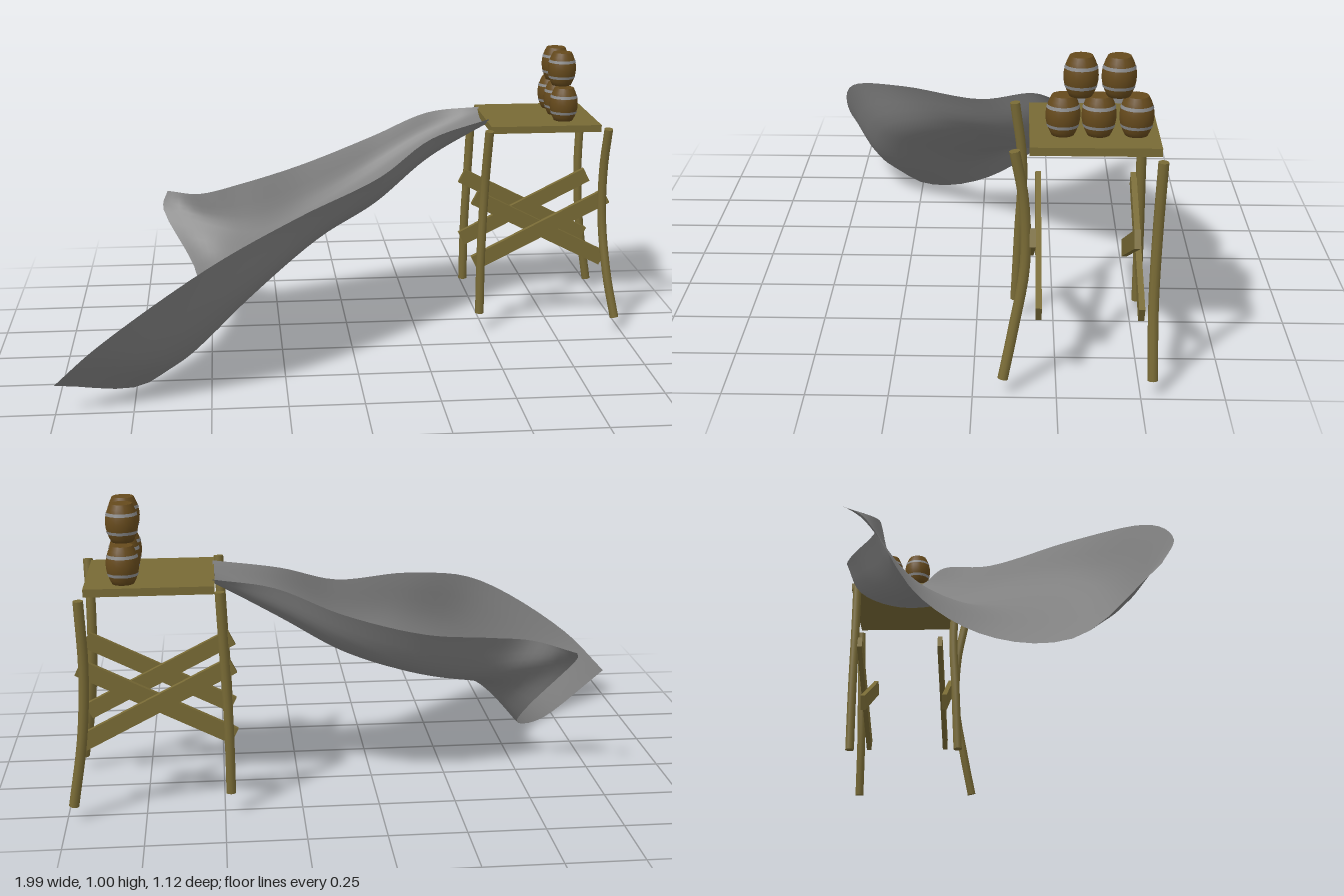
import * as THREE from 'three';

const mat = (name, color, side = THREE.FrontSide) => {
  const m = new THREE.MeshStandardMaterial({ color, side });
  m.name = name;
  return m;
};
const v = (p) => new THREE.Vector3(...p);
const curve = (pts) => new THREE.CatmullRomCurve3(pts, false, 'centripetal');

// Cross-sections of the chute from platform to lip, each from front rim to back rim
const SECTIONS = [
  [[.52, .77, -.25], [.52, .745, -.29], [.52, .735, -.34], [.52, .735, -.39], [.52, .745, -.44], [.52, .765, -.48]],
  [[.3, .72, -.17], [.3, .65, -.22], [.3, .615, -.3], [.31, .615, -.4], [.32, .66, -.48], [.33, .74, -.51]],
  [[.1, .63, 0], [.1, .54, -.08], [.1, .48, -.2], [.1, .475, -.34], [.1, .53, -.46], [.12, .65, -.515]],
  [[-.2, .575, .28], [-.14, .46, .14], [-.12, .4, -.05], [-.12, .375, -.24], [-.13, .42, -.38], [-.15, .56, -.46]],
  [[-.5, .48, .5], [-.4, .32, .36], [-.34, .28, .1], [-.33, .3, -.14], [-.34, .36, -.29], [-.38, .515, -.37]],
  [[-.85, .25, .555], [-.6, .13, .38], [-.47, .17, .08], [-.46, .27, -.16], [-.48, .38, -.3], [-.53, .49, -.335]],
  [[-1, .1, .5], [-.72, 0, .27], [-.555, .08, 0], [-.55, .22, -.21], [-.67, .43, -.37], [-.655, .475, -.44]],
];

// Smooth sheet lofted through the cross-sections
function chuteGeometry(nu = 36, nv = 24) {
  const rows = SECTIONS.map((s) => curve(s.map(v)));
  const pos = new Float32Array((nu + 1) * (nv + 1) * 3);
  const index = [];
  for (let j = 0; j <= nv; j++) {
    const rail = curve(rows.map((r) => r.getPoint(j / nv)));
    for (let i = 0; i <= nu; i++) {
      rail.getPoint(i / nu).toArray(pos, (i * (nv + 1) + j) * 3);
      if (i < nu && j < nv) {
        const a = i * (nv + 1) + j, b = a + 1, c = a + nv + 1, d = c + 1;
        index.push(a, b, c, b, d, c);
      }
    }
  }
  const g = new THREE.BufferGeometry();
  g.setAttribute('position', new THREE.BufferAttribute(pos, 3));
  g.setIndex(index);
  g.computeVertexNormals();
  return g;
}

export function createModel() {
  const metal = mat('chute grey', 0x808080, THREE.DoubleSide);
  const timber = mat('olive timber', 0x786a35);
  const oak = mat('barrel brown', 0x664a1c);
  const iron = mat('hoop grey', 0x8c8c8c);

  const model = new THREE.Group();
  model.name = 'barrelChute';
  const add = (parent, name, geo, material, pos = [0, 0, 0]) => {
    const m = new THREE.Mesh(geo, material);
    m.name = name;
    m.position.set(...pos);
    parent.add(m);
    return m;
  };

  add(model, 'chute', chuteGeometry(), metal);

  // Platform
  const stand = new THREE.Group();
  stand.name = 'stand';
  model.add(stand);
  add(stand, 'deck', new THREE.BoxGeometry(.4, .025, .38), timber, [.715, .7475, -.353]);

  // Crooked legs with closed ends
  const legs = {
    frontLeftLeg: [[.93, .755, -.12], [.925, .6, -.148], [.93, .4, -.153], [.95, .2, -.12], [.977, .05, -.09]],
    backLeftLeg: [[.93, .725, -.545], [.925, .5, -.537], [.94, .28, -.532], [.977, .05, -.535]],
    frontRightLeg: [[.5, .755, -.12], [.492, .55, -.145], [.482, .3, -.135], [.48, .07, -.125]],
    backRightLeg: [[.5, .735, -.52], [.492, .55, -.52], [.482, .3, -.522], [.48, .07, -.522]],
  };
  const R = .016;
  for (const [name, pts] of Object.entries(legs)) {
    const path = curve(pts.map(v));
    const leg = new THREE.Group();
    leg.name = name;
    stand.add(leg);
    add(leg, 'pole', new THREE.TubeGeometry(path, 16, R, 10), timber);
    for (const t of [0, 1]) {
      const cap = add(leg, 'poleEnd', new THREE.CircleGeometry(R, 10), timber, path.getPoint(t).toArray());
      const out = path.getTangent(t).multiplyScalar(t ? 1 : -1);
      cap.quaternion.setFromUnitVectors(new THREE.Vector3(0, 0, 1), out);
    }
  }

  // Crossed braces, front and back
  for (const [z, side] of [[-.185, 'front'], [-.488, 'back']]) {
    for (const s of [1, -1]) {
      const brace = add(stand, side + 'Brace', new THREE.BoxGeometry(.54, .055, .018), timber, [.705, .37, z + s * .01]);
      brace.rotation.z = s * .47;
    }
  }

  // Barrels: bulging staves with two hoops, stacked three and two
  const H = .12;
  const radius = (y) => .051 - 4.7 * y * y;
  const profile = [new THREE.Vector2(.0001, -H / 2)];
  for (let i = 0; i <= 8; i++) {
    const y = -H / 2 + (H * i) / 8;
    profile.push(new THREE.Vector2(radius(y), y));
  }
  const staves = new THREE.LatheGeometry(profile, 20);
  const lid = new THREE.CircleGeometry(radius(H / 2), 20).rotateX(-Math.PI / 2);
  const hoop = (y) => new THREE.LatheGeometry(
    [-.005, .005].map((d) => new THREE.Vector2(radius(y + d) + .001, y + d)), 20);
  const hoops = [hoop(-.029), hoop(.029)];
  const spots = [[.82, -.26], [.82, -.365], [.82, -.475], [.94, -.31], [.94, -.42]];
  for (const [y, z] of spots) {
    const barrel = new THREE.Group();
    barrel.name = 'barrel';
    barrel.position.set(.795, y, z);
    model.add(barrel);
    add(barrel, 'staves', staves, oak);
    add(barrel, 'lid', lid, oak, [0, H / 2, 0]);
    hoops.forEach((g) => add(barrel, 'hoop', g, iron));
  }
  return model;
}
